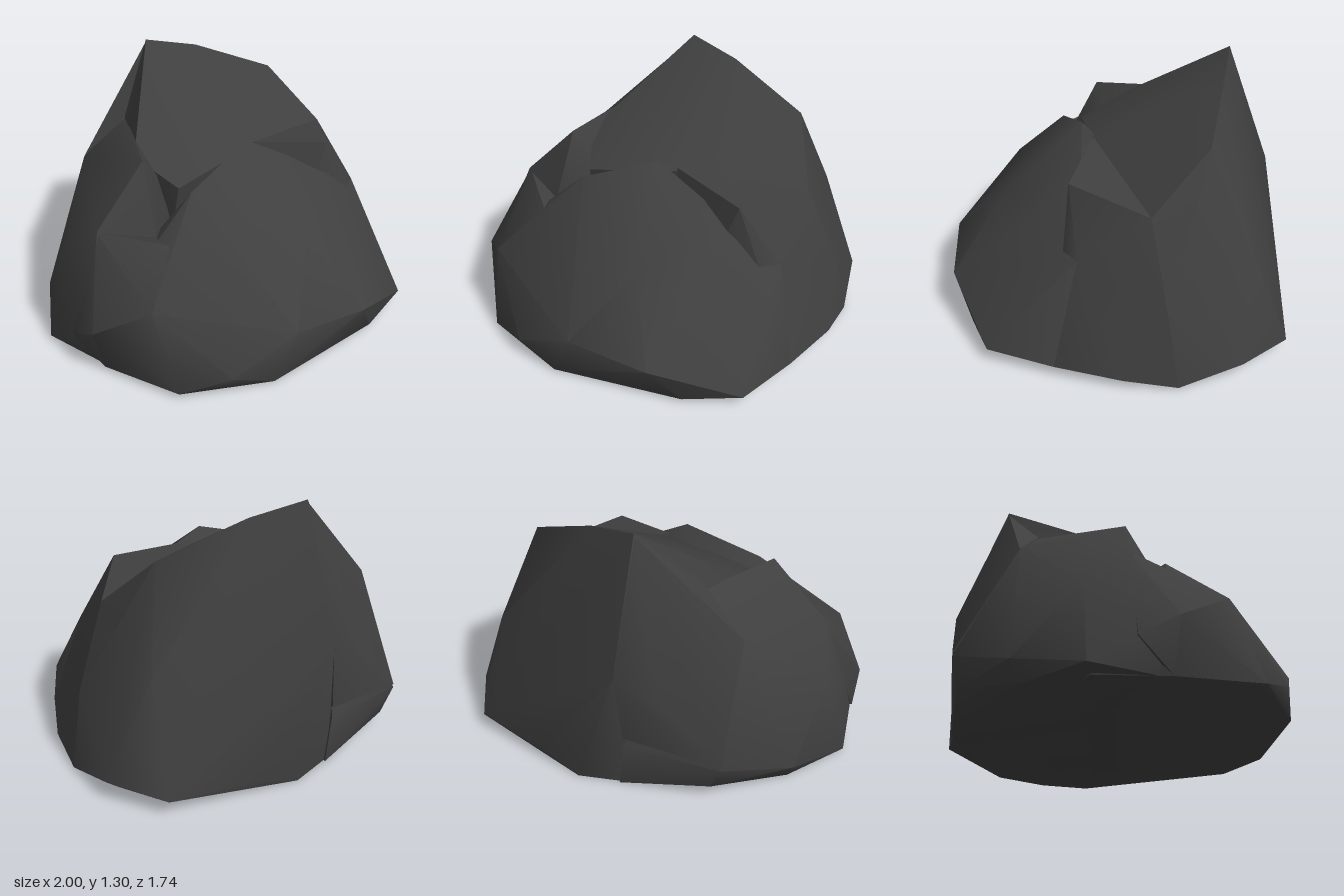
import * as THREE from 'three';
import { ConvexGeometry } from 'three/addons/geometries/ConvexGeometry.js';
import { toCreasedNormals } from 'three/addons/utils/BufferGeometryUtils.js';

// Each mass is a faceted hull; where the masses meet they form the crevices.
const masses = {
  // Broad sloping front with an undercut toe
  frontSlope: [
    [0.04, 0.96, 0.17], [-0.35, 0.82, 0.25], [-0.51, 0.63, 0.38], [-0.75, 0.42, 0.51],
    [-0.95, 0.25, 0.28], [0.1, 0.59, 0.6], [0.72, 0.57, 0.25], [0.4, 0.73, 0.3],
    [0.26, 0.23, 0.87], [-0.16, 0.27, 0.86], [-0.49, 0.1, 0.79], [-0.71, 0.03, 0.66],
    [0.41, 0.02, 0.78], [0.7, 0.07, 0.7], [0.85, 0.06, 0.38],
    [-0.27, 0.01, 0.83], [0.38, 0, 0.73], [0.64, 0, 0.6], [0.8, 0, 0.2],
    [-0.25, 0, 0.8], [-0.66, 0, 0.62], [-0.88, 0, 0.25], [-0.9, 0, -0.1], [0, 0, -0.6],
  ],
  // Tall peak leaning to the back, with a tilted top and a ridge at the back corner
  peak: [
    [-0.07, 1.3, -0.6], [0.2, 1.24, -0.52], [0.61, 1.07, -0.38], [0.75, 0.8, -0.09],
    [0.12, 0.89, 0.12], [-0.33, 1.0, -0.4], [-0.46, 0.9, -0.1], [-0.36, 0.8, 0.15],
    [-0.07, 0.65, -0.84], [0.75, 0.6, -0.57], [0.92, 0.39, -0.15], [0.79, 0.08, -0.77],
    [0.97, 0.1, -0.51], [1, 0.01, -0.2], [0.4, 0.07, -0.84], [0.14, 0, -0.87],
    [-0.1, 0, -0.8], [0.4, 0, -0.78], [0.7, 0, -0.68], [0.88, 0, -0.45],
    [-0.38, 0.5, -0.6], [-0.4, 0, 0], [0.6, 0, 0],
  ],
  // Lower shoulder on the side of -x
  shoulder: [
    [-0.5, 0.95, 0.05], [-0.46, 0.92, -0.1], [-0.78, 0.66, 0.07], [-0.54, 0.58, 0.23],
    [-0.33, 0.98, -0.4], [-0.56, 0.79, -0.46], [-0.89, 0.45, -0.13],
    [-1, 0.02, -0.11], [-0.94, 0.2, 0.2], [-0.84, 0.1, -0.44], [-0.58, 0.22, -0.74],
    [-0.1, 0.25, -0.82], [-0.07, 0, -0.82], [-0.52, 0.08, -0.72], [-0.45, 0, -0.6],
    [-0.8, 0, -0.4], [-0.88, 0, 0.2], [-0.3, 0.7, 0], [-0.2, 0, 0.1],
  ],
  // Back slope joining the peak to the shoulder
  backSlope: [
    [-0.07, 1.29, -0.6], [-0.33, 0.99, -0.4], [-0.56, 0.79, -0.46], [-0.07, 0.65, -0.84],
    [-0.28, 0.55, -0.8], [-0.58, 0.24, -0.74], [-0.1, 0.3, -0.82], [0, 0.4, -0.2],
  ],
  // Ledge running from the shoulder down to the front
  ledge: [
    [-0.78, 0.65, 0.06], [-0.54, 0.62, 0.23], [-0.51, 0.63, 0.38], [-0.75, 0.42, 0.51],
    [-0.95, 0.25, 0.28], [-0.97, 0.15, 0.1], [-0.71, 0.03, 0.66], [-0.88, 0, 0.25],
    [-0.6, 0, 0.6], [-0.4, 0, 0], [-0.5, 0.5, 0],
  ],
  // Flank on the side of +x, with a raised lip over the front
  flank: [
    [0.12, 0.91, 0.12], [0.75, 0.8, -0.09], [0.5, 0.86, 0.27], [0.72, 0.57, 0.25],
    [0.92, 0.39, -0.15], [1, 0.01, -0.2], [0.97, 0.05, 0.06], [0.85, 0.06, 0.38],
    [0.88, 0, -0.3], [0.8, 0, 0.2], [0.3, 0, -0.4], [0.2, 0, 0.3],
  ],
};

export function createModel() {
  const stone = new THREE.MeshStandardMaterial({ color: 0x3f3f3f });
  stone.name = 'darkStone';
  const rock = new THREE.Group();
  rock.name = 'rock';
  for (const [name, points] of Object.entries(masses)) {
    const hull = new ConvexGeometry(points.map((p) => new THREE.Vector3(...p)));
    // Soft shading across shallow bends, hard edges on the sharp ones
    const mesh = new THREE.Mesh(toCreasedNormals(hull, 0.8), stone);
    mesh.name = name;
    rock.add(mesh);
  }
  return rock;
}
